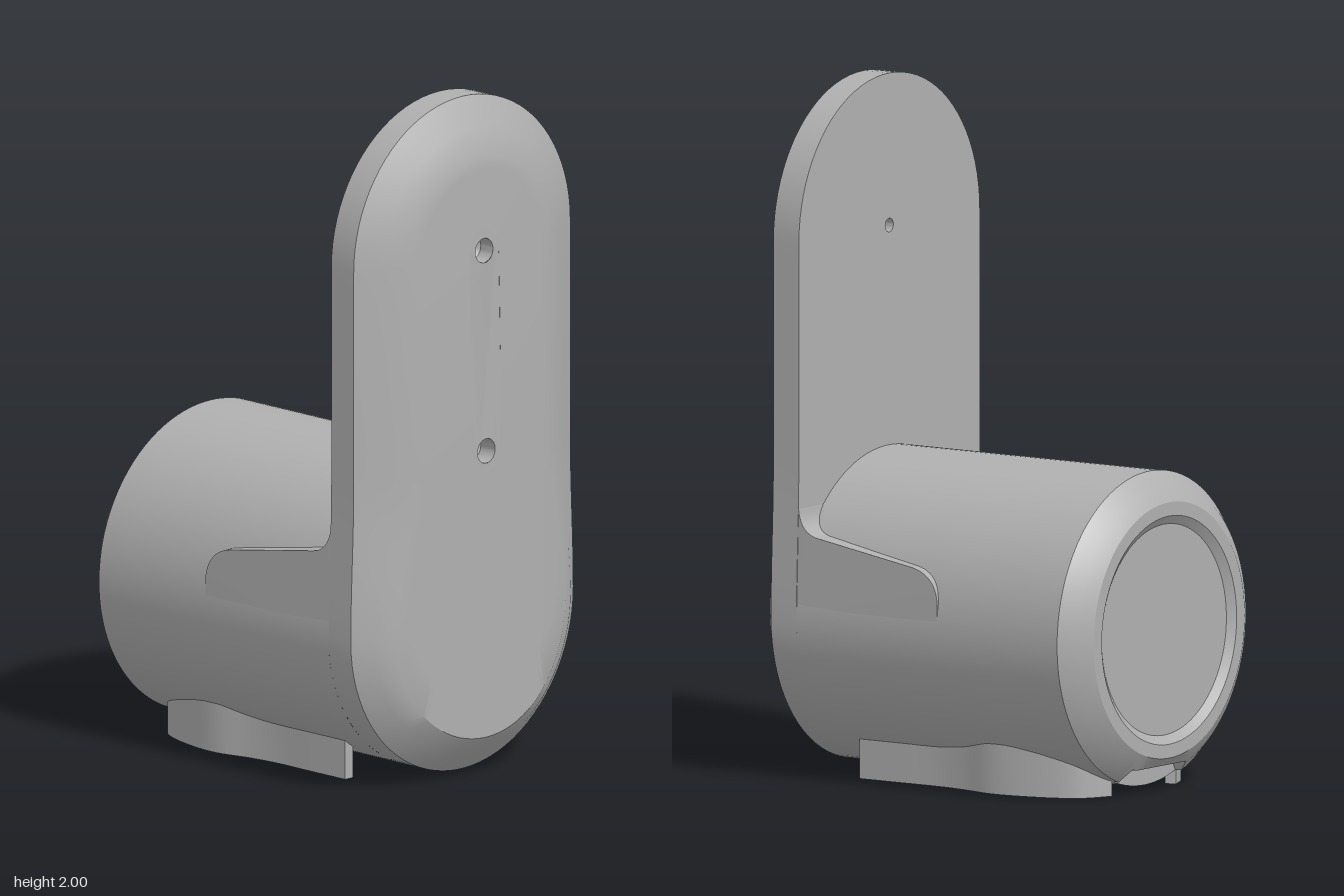
import * as THREE from 'three';
import { toCreasedNormals } from 'three/addons/utils/BufferGeometryUtils.js';

const AXIS_Y = 0.47, R = 0.455; // barrel axis height and radius
const TOP_Y = 1.557, TOP_R = 0.443;

// Half width blending from the lower radius to the upper one
const halfWidth = (y, rB, rT, yB) => THREE.MathUtils.lerp(rB, rT, THREE.MathUtils.smoothstep(y, yB, yB + 0.45));

// Slightly domed front surface of the plate
const frontZ = (x, y) => 0.588 - 0.022 * (x / 0.345) ** 2 - 0.018 * (Math.max(0, y - 0.9) / 0.93) ** 2;

// Counter-clockwise capsule outline with different end radii
function outline(rB, rT, yB, yT) {
  const half = [], n = 20, m = 16;
  for (let i = 0; i < n; i++) {
    const a = (i / n - 1) * Math.PI / 2;
    half.push(new THREE.Vector2(rB * Math.cos(a), yB + rB * Math.sin(a)));
  }
  for (let i = 0; i <= m; i++) {
    const y = yB + (yT - yB) * i / m;
    half.push(new THREE.Vector2(halfWidth(y, rB, rT, yB), y));
  }
  for (let i = 1; i <= n; i++) {
    const a = i / n * Math.PI / 2;
    half.push(new THREE.Vector2(rT * Math.cos(a), yT + rT * Math.sin(a)));
  }
  half[0].x = half[half.length - 1].x = 0;
  const left = half.slice(1, -1).reverse().map(p => new THREE.Vector2(-p.x, p.y));
  return half.concat(left);
}

// Skin a list of closed rings
function loft(rings) {
  const n = rings[0].length, pos = [], idx = [];
  rings.forEach(ring => ring.forEach(p => pos.push(p.x, p.y, p.z)));
  for (let i = 0; i < rings.length - 1; i++) {
    for (let j = 0; j < n; j++) {
      const a = i * n + j, b = i * n + (j + 1) % n;
      idx.push(a, b, b + n, a, b + n, a + n);
    }
  }
  const g = new THREE.BufferGeometry();
  g.setAttribute('position', new THREE.Float32BufferAttribute(pos, 3));
  g.setIndex(idx);
  return g;
}

// Move every vertex by a rule
function reshape(g, rule) {
  const p = g.attributes.position, v = new THREE.Vector3();
  for (let i = 0; i < p.count; i++) {
    rule(v.fromBufferAttribute(p, i));
    p.setXYZ(i, v.x, v.y, v.z);
  }
  return g;
}

// Lathe profile of [radius, z] turned about the z axis
const turned = (pts, segs) =>
  new THREE.LatheGeometry(pts.map(p => new THREE.Vector2(...p)), segs).rotateX(Math.PI / 2);

export function createModel() {
  const model = new THREE.Group();
  const grey = new THREE.MeshStandardMaterial({ color: 0xb0b0b0 });
  grey.name = 'grey plastic';
  const add = (name, geo, crease = 0.55, parent = model) => {
    const mesh = new THREE.Mesh(toCreasedNormals(geo, crease), grey);
    mesh.name = name;
    parent.add(mesh);
    return mesh;
  };

  // Upright plate: rim, bevel and domed front down to a slot around the screw holes
  const plate = new THREE.Group();
  plate.name = 'plate';
  model.add(plate);
  const outer = outline(R, TOP_R, AXIS_Y, TOP_Y);
  const inner = outline(0.345, 0.28, AXIS_Y, 1.555);
  const slot = outline(0.06, 0.06, 0.97, 1.56);
  const at = (ring, z) => ring.map(p => new THREE.Vector3(p.x, p.y, z));
  const rings = [at(outer, 0.4), at(outer, 0.49)];
  rings.push(outer.map((p, i) => {
    const q = p.clone().lerp(inner[i], 0.5);
    return new THREE.Vector3(q.x, q.y, (0.49 + frontZ(inner[i].x, inner[i].y)) / 2 + 0.005);
  }));
  for (let k = 0; k <= 6; k++) {
    rings.push(inner.map((p, i) => {
      const q = p.clone().lerp(slot[i], k / 6);
      return new THREE.Vector3(q.x, q.y, frontZ(q.x, q.y));
    }));
  }
  add('plateShell', loft(rings), 0.55, plate);

  const circle = (y, r) => new THREE.Path().absarc(0, y, r, 0, Math.PI * 2, true);
  const centre = new THREE.Shape(slot);
  centre.holes.push(circle(1.56, 0.036), circle(0.97, 0.036));
  add('plateCentre', reshape(new THREE.ShapeGeometry(centre, 12), v => { v.z = frontZ(v.x, v.y); }), 0.55, plate);

  const back = new THREE.Shape(outer.map(p => new THREE.Vector2(-p.x, p.y)));
  back.holes.push(circle(1.56, 0.02));
  add('plateBack', new THREE.ShapeGeometry(back, 12).rotateY(Math.PI).translate(0, 0, 0.4), 0.55, plate);

  // Screw holes: the upper one goes through, the lower one is blind
  add('upperScrewHole', turned([[0.036, frontZ(0, 1.56)], [0.036, 0.53], [0.02, 0.51], [0.02, 0.4]], 24)
    .translate(0, 1.56, 0), 0.55, plate);
  add('lowerScrewHole', turned([[0.036, frontZ(0, 0.97)], [0.036, 0.53], [0, 0.51]], 24)
    .translate(0, 0.97, 0), 0.55, plate);

  // Barrel with a bevelled, recessed back and a small notch under its rear edge
  const barrel = turned([
    [0, -0.57], [0.305, -0.57], [0.33, -0.588], [0.37, -0.588], [0.415, -0.56],
    [R, -0.52], [R, -0.501], [R, -0.499], [R, 0.4],
  ], 128).translate(0, AXIS_Y, 0);
  add('barrel', reshape(barrel, v => {
    if (v.z < -0.5 && Math.abs(v.x) < 0.142 && v.y < AXIS_Y) v.y = Math.max(v.y, 0.075);
  }));

  // Side webs joining plate and barrel, following the width of the plate
  const web = new THREE.Shape();
  web.moveTo(0.42, AXIS_Y);
  web.lineTo(0.42, 0.79);
  web.lineTo(0.4, 0.79);
  web.quadraticCurveTo(0.392, 0.72, 0.33, 0.71);
  web.lineTo(0, 0.655);
  web.quadraticCurveTo(-0.085, 0.64, -0.095, 0.56);
  web.lineTo(-0.095, AXIS_Y);
  const webGeo = new THREE.ExtrudeGeometry(web, { depth: 0.9, bevelEnabled: false, curveSegments: 12 })
    .translate(0, 0, -0.45).rotateY(-Math.PI / 2);
  add('sideWebs', reshape(webGeo, v => {
    v.x = Math.sign(v.x) * (halfWidth(v.y, R, TOP_R, AXIS_Y) - 0.001);
  }));

  // Curved thin feet under the barrel
  const path = new THREE.CatmullRomCurve3([
    [0.268, 0.3], [0.268, 0.15], [0.268, 0.02], [0.28, -0.08], [0.302, -0.18],
    [0.3, -0.25], [0.272, -0.37], [0.235, -0.44], [0.15, -0.485],
  ].map(([x, z]) => new THREE.Vector3(x, z, 0)));
  for (const side of [1, -1]) {
    const a = [], b = [];
    for (let i = 0; i <= 40; i++) {
      const p = path.getPointAt(i / 40), t = path.getTangentAt(i / 40);
      a.push(new THREE.Vector2(side * (p.x - t.y * 0.016), p.y + t.x * 0.016));
      b.unshift(new THREE.Vector2(side * (p.x + t.y * 0.016), p.y - t.x * 0.016));
    }
    const foot = new THREE.ExtrudeGeometry(new THREE.Shape(a.concat(b)), { depth: 0.145, bevelEnabled: false });
    add(side > 0 ? 'leftFoot' : 'rightFoot', foot.rotateX(Math.PI / 2).translate(0, 0.145, 0));
  }
  return model;
}
